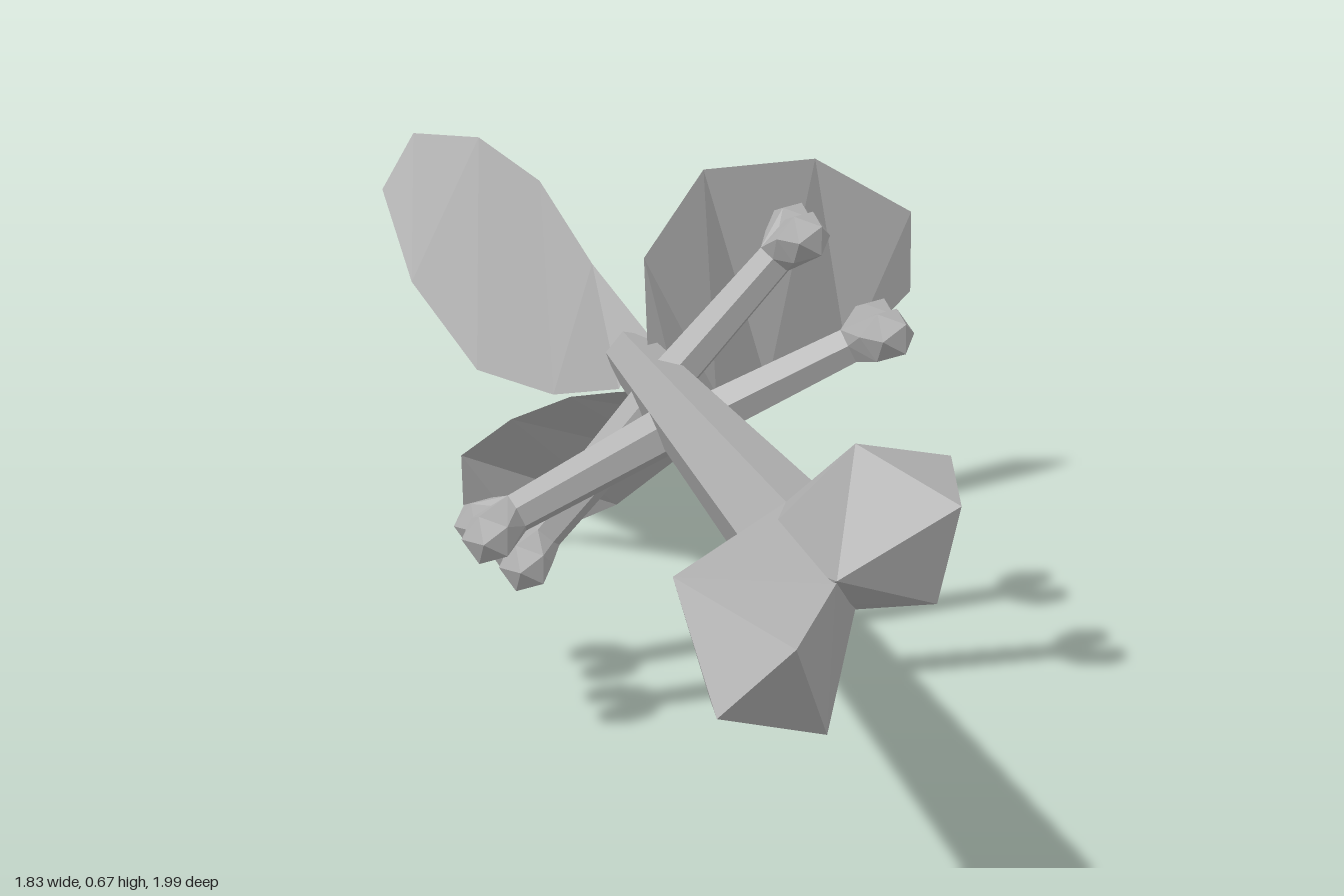
import * as THREE from 'three';
import { ConvexGeometry } from 'three/addons/geometries/ConvexGeometry.js';

const V = (x, y, z) => new THREE.Vector3(x, y, z);
const boneGrey = new THREE.MeshStandardMaterial({ color: 0xb0b0b0, flatShading: true, side: THREE.DoubleSide });
boneGrey.name = 'bone grey';

const HEAD = V(-0.61, 0.5, 0.735);
const TAIL = V(0.27, 0.368, -0.31);
const AXIS = TAIL.clone().sub(HEAD).normalize();

function add(parent, name, geometry) {
  const mesh = new THREE.Mesh(geometry, boneGrey);
  mesh.name = name;
  parent.add(mesh);
  return mesh;
}

// Six-sided tapered rod between two points
function rod(a, b, ra, rb) {
  const dir = b.clone().sub(a);
  const g = new THREE.CylinderGeometry(rb, ra, dir.length(), 6);
  g.applyQuaternion(new THREE.Quaternion().setFromUnitVectors(V(0, 1, 0), dir.clone().normalize()));
  const mid = a.clone().add(b).multiplyScalar(0.5);
  return g.translate(mid.x, mid.y, mid.z);
}

// Ring of points around a rod's end
function ring(center, dir, r) {
  const q = new THREE.Quaternion().setFromUnitVectors(V(0, 1, 0), dir);
  return Array.from({ length: 6 }, (_, i) => {
    const t = (i * Math.PI) / 3;
    return V(r * Math.sin(t), 0, r * Math.cos(t)).applyQuaternion(q).add(center);
  });
}

// Small forked bone growing out of the shaft
function sideBone(root, tip) {
  const group = new THREE.Group();
  group.name = 'sideBone';
  const dir = tip.clone().sub(root).normalize();
  const neck = tip.clone().addScaledVector(dir, -0.045);
  add(group, 'sideBoneStem', rod(root, neck, 0.032, 0.026));
  for (const s of [-1, 1]) {
    const c = tip.clone().addScaledVector(AXIS, s * 0.043);
    const ball = new THREE.IcosahedronGeometry(0.036, 0).getAttribute('position');
    const pts = ring(neck, dir, 0.026);
    for (let i = 0; i < ball.count; i++) pts.push(V().fromBufferAttribute(ball, i).add(c));
    add(group, 'sideBoneKnob', new ConvexGeometry(pts));
  }
  return group;
}

// Thin feather: each row holds one point on either edge
function feather(rows) {
  const g = new THREE.BufferGeometry();
  const index = [];
  for (let i = 0; i < rows.length - 1; i++) {
    const a = 2 * i;
    index.push(a, a + 1, a + 2, a + 1, a + 3, a + 2);
  }
  g.setAttribute('position', new THREE.Float32BufferAttribute(rows.flat(), 3));
  g.setIndex(index);
  const flat = g.toNonIndexed();
  flat.computeVertexNormals();
  return flat;
}

export function createModel() {
  const model = new THREE.Group();
  model.name = 'boneArrow';

  // Shaft and its pointed tail
  add(model, 'shaft', rod(HEAD, TAIL, 0.066, 0.036));
  add(model, 'shaftTail', rod(TAIL, TAIL.clone().addScaledVector(AXIS, 0.09), 0.036, 0.008));

  // Two big knuckles at the head
  const neck = ring(HEAD, AXIS, 0.066);
  add(model, 'lowerKnuckle', new ConvexGeometry([...neck,
    V(-0.915, 0.42, 0.87), V(-0.87, 0.5, 0.94), V(-0.86, 0.54, 0.76),
    V(-0.765, 0.37, 0.895), V(-0.8, 0.39, 0.76), V(-0.74, 0.53, 0.885)]));
  add(model, 'upperKnuckle', new ConvexGeometry([...neck,
    V(-0.68, 0.667, 0.86), V(-0.567, 0.637, 0.9), V(-0.665, 0.62, 0.993),
    V(-0.745, 0.535, 0.89), V(-0.65, 0.5, 0.95), V(-0.57, 0.53, 0.79)]));

  // Four side bones
  model.add(
    sideBone(V(-0.05, 0.4, 0.04), V(-0.25, 0.285, -0.09)),
    sideBone(V(0.1, 0.385, -0.11), V(-0.045, 0.175, -0.22)),
    sideBone(V(0.1, 0.37, -0.13), V(0.25, 0.59, -0.005)),
    sideBone(V(-0.03, 0.4, 0.05), V(0.145, 0.52, 0.22)));

  // Three feathers spread around the tail
  add(model, 'leftFeather', feather([
    [0.2, 0.41, -0.22, 0.22, 0.335, -0.18],
    [0.35, 0.48, -0.36, 0.43, 0.285, -0.3],
    [0.575, 0.55, -0.45, 0.62, 0.245, -0.37],
    [0.78, 0.535, -0.42, 0.8, 0.25, -0.375],
    [0.91, 0.446, -0.35, 0.91, 0.33, -0.35]]));
  add(model, 'rightFeather', feather([
    [0.26, 0.405, -0.27, 0.21, 0.34, -0.28],
    [0.4, 0.44, -0.5, 0.32, 0.27, -0.5],
    [0.5, 0.51, -0.69, 0.4, 0.25, -0.72],
    [0.566, 0.535, -0.87, 0.476, 0.33, -0.92],
    [0.54, 0.53, -0.975, 0.5, 0.45, -1]]));
  add(model, 'lowerFeather', feather([
    [0.25, 0.34, -0.22, 0.2, 0.34, -0.27],
    [0.42, 0.25, -0.33, 0.3, 0.28, -0.45],
    [0.51, 0.15, -0.44, 0.32, 0.22, -0.58],
    [0.51, 0.06, -0.555, 0.345, 0.14, -0.7],
    [0.44, 0.0, -0.66, 0.375, 0.04, -0.725]]));

  return model;
}
